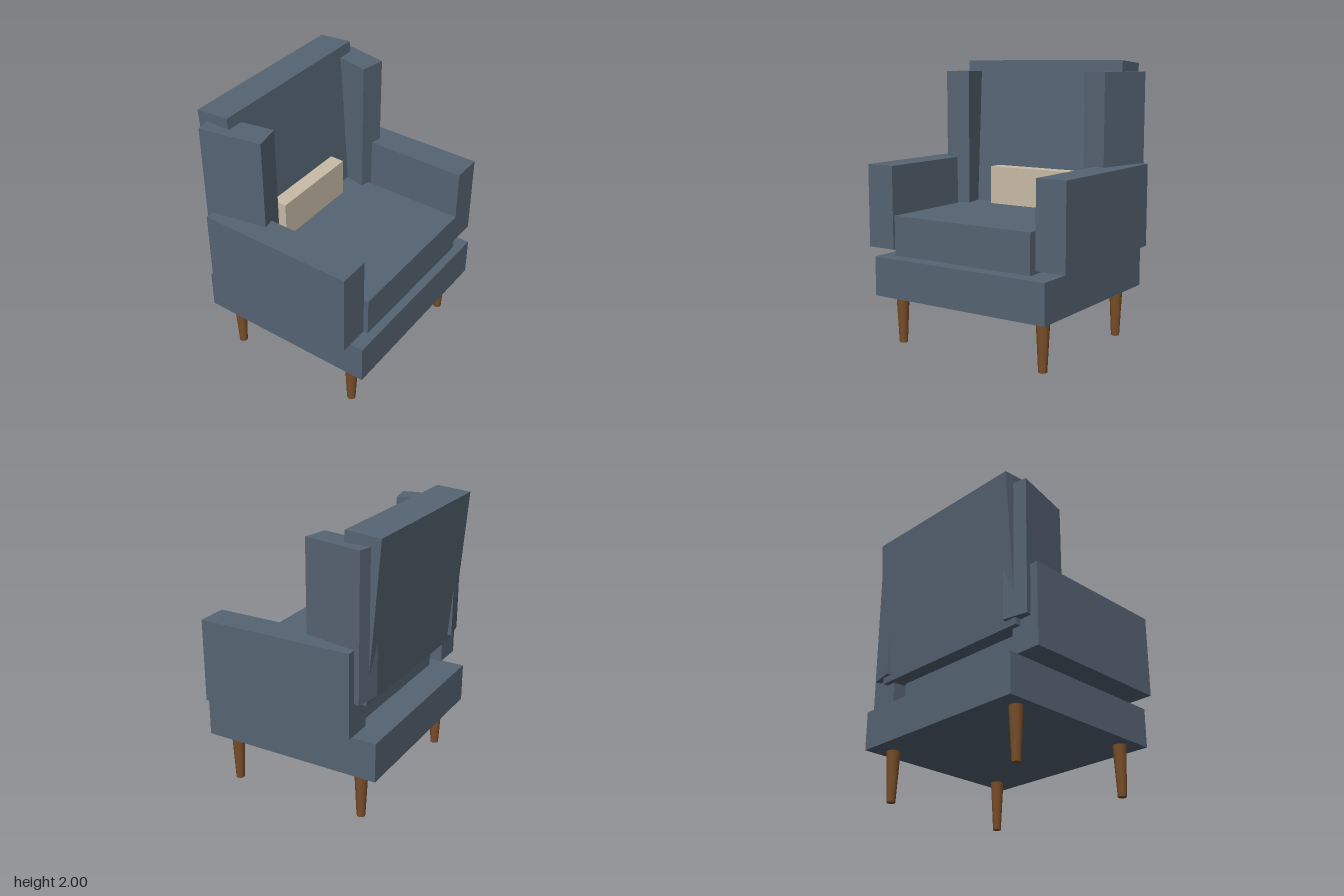
import * as THREE from 'three';

export function createModel() {
  const chair = new THREE.Group();
  chair.name = 'wingArmchair';

  const fabric = new THREE.MeshStandardMaterial({ color: 0x566473 });
  const linen = new THREE.MeshStandardMaterial({ color: 0xc8bca6 });
  const wood = new THREE.MeshStandardMaterial({ color: 0x7a4e28 });

  // Adds a named mesh centred at x, y, z
  const add = (name, geometry, material, x, y, z) => {
    const mesh = new THREE.Mesh(geometry, material);
    mesh.name = name;
    mesh.position.set(x, y, z);
    chair.add(mesh);
    return mesh;
  };
  const box = (w, h, d) => new THREE.BoxGeometry(w, h, d);

  // Base and cushions
  add('base', box(1.4, 0.28, 1.32), fabric, 0, 0.5, 0);
  add('seatCushion', box(1.12, 0.28, 1.055), fabric, 0, 0.795, 0.08);
  add('lumbarPillow', box(0.68, 0.28, 0.12), linen, 0, 1.075, -0.298);

  // Backrest, leaning backwards
  add('backrest', box(1.32, 1.114, 0.25), fabric, 0, 1.435, -0.49).rotation.x = -0.08;

  for (const [side, s] of [['left', 1], ['right', -1]]) {
    add(side + 'Arm', box(0.22, 0.59, 1.12), fabric, s * 0.7, 0.983, 0.032);

    // Wings, their front edges turned inwards
    add(side + 'Wing', box(0.18, 1.005, 0.44), fabric, s * 0.625, 1.418, -0.37).rotation.y = -s * 0.2;

    // Tapered legs
    for (const [end, z] of [['Front', 0.5], ['Back', -0.5]]) {
      add(side + end + 'Leg', new THREE.CylinderGeometry(0.048, 0.03, 0.36, 12), wood, s * 0.59, 0.18, z);
    }
  }
  return chair;
}
